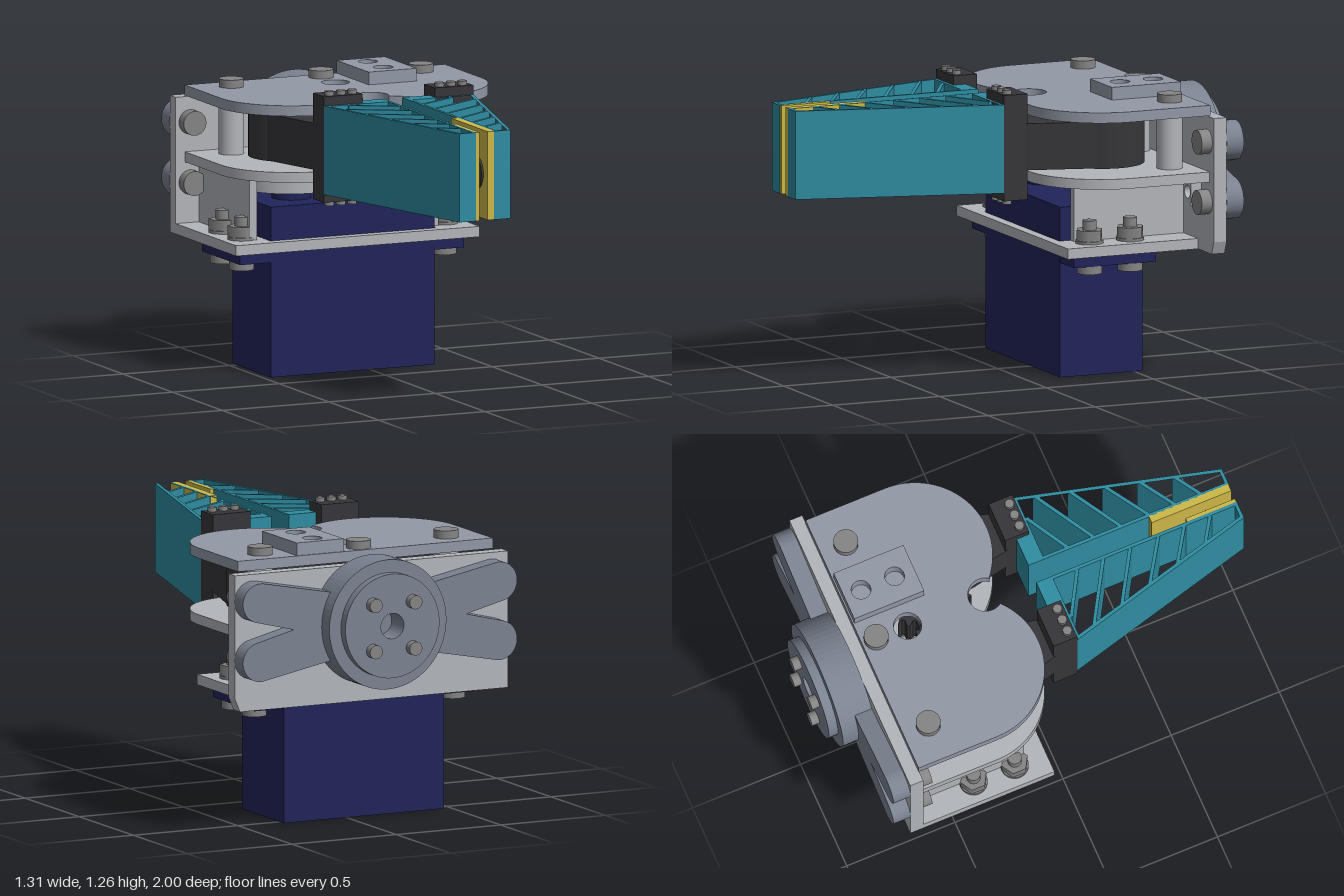
import * as THREE from 'three';

const mat = (color) => new THREE.MeshStandardMaterial({ color });
const M = {
  light: mat(0xb2b5ba), steel: mat(0x9299a6), wing: mat(0x7b8391), bolt: mat(0x858585),
  dark: mat(0x363539), navy: mat(0x20245a), teal: mat(0x2f8da2), yellow: mat(0xcdb848), red: mat(0xc8623f),
};

export function createModel() {
  const root = new THREE.Group();
  const add = (name, geo, m, parent = root) => {
    const mesh = new THREE.Mesh(geo, m);
    mesh.name = name;
    parent.add(mesh);
    return mesh;
  };
  // box from min/max pairs
  const box = (name, m, x0, x1, y0, y1, z0, z1, parent) =>
    add(name, new THREE.BoxGeometry(x1 - x0, y1 - y0, z1 - z0)
      .translate((x0 + x1) / 2, (y0 + y1) / 2, (z0 + z1) / 2), m, parent);
  // upright cylinder
  const post = (name, m, x, z, r, y0, y1, seg = 32, parent = root) =>
    add(name, new THREE.CylinderGeometry(r, r, y1 - y0, seg).translate(x, (y0 + y1) / 2, z), m, parent);
  // cylinder along z
  const pin = (name, m, x, y, r, z0, z1, seg = 32) =>
    add(name, new THREE.CylinderGeometry(r, r, z1 - z0, seg).rotateX(Math.PI / 2)
      .translate(x, y, (z0 + z1) / 2), m);
  // plan outline (x, -z) raised from y0 to y1
  const plan = (name, m, shape, y0, y1, parent) =>
    add(name, new THREE.ExtrudeGeometry(shape, { depth: y1 - y0, bevelEnabled: false, curveSegments: 32 })
      .rotateX(-Math.PI / 2).translate(0, y0, 0), m, parent);
  // front outline (x, y) extruded from z0 to z1
  const face = (name, m, shape, z0, z1) =>
    add(name, new THREE.ExtrudeGeometry(shape, { depth: z1 - z0, bevelEnabled: false, curveSegments: 32 })
      .translate(0, 0, z0), m);
  const poly = (pts) => new THREE.Shape(pts.map((p) => new THREE.Vector2(p[0], p[1])));
  const rect = (x0, x1, y0, y1) => poly([[x0, y0], [x1, y0], [x1, y1], [x0, y1]]);
  const circle = (x, y, r) => new THREE.Path().absarc(x, y, r, 0, Math.PI * 2, false);

  // motor with mounting ears, shaft and round horn
  box('motorBody', M.navy, -0.466, 0.3, 0, 0.735, -0.54, -0.155);
  box('motorEars', M.navy, -0.61, 0.44, 0.495, 0.543, -0.539, -0.156);
  post('motorShaft', M.navy, -0.28, -0.35, 0.085, 0.73, 0.79);
  post('motorHorn', M.light, -0.287, -0.355, 0.222, 0.785, 0.84);

  // base plate with an opening for the motor
  const base = rect(-0.653, 0.49, 0.105, 0.72);
  base.holes.push(rect(-0.47, 0.304, 0.15, 0.545));
  plan('basePlate', M.light, base, 0.545, 0.59);
  for (const x of [-0.56, 0.39]) {
    for (const z of [-0.25, -0.44]) {
      post('motorBoltHead', M.bolt, x, z, 0.053, 0.46, 0.495);
      post('motorBoltWasher', M.bolt, x, z, 0.06, 0.59, 0.602);
      post('motorBoltNut', M.bolt, x, z, 0.06, 0.602, 0.648, 6);
      post('motorBoltShank', M.bolt, x, z, 0.03, 0.46, 0.688);
    }
  }
  // side walls between base plate and lower plate
  for (const x of [-0.545, 0.305]) {
    box('sideWall', M.light, x, x + 0.035, 0.585, 0.86, -0.715, -0.2);
  }

  // rear wall
  const wall = poly([[-0.653, 0.545], [0.63, 0.545], [0.653, 0.6], [0.653, 1.135], [-0.653, 1.135]]);
  wall.holes.push(rect(0.42, 0.52, 0.72, 0.85), circle(0.38, 0.775, 0.028));
  face('rearWall', M.light, wall, -0.772, -0.712);

  // lobed upper and lower plates
  const heart = (notched) => {
    const a = notched ? 0.85 : 0.559;
    const s = new THREE.Shape();
    s.moveTo(-0.61, 0.715);
    s.lineTo(-0.61, 0.35);
    s.absarc(-0.28, 0.35, 0.33, Math.PI, Math.PI * 2 - a, false);
    if (notched) s.absarc(0, 0.145, 0.075, Math.PI + 0.64, -0.64, true);
    s.absarc(0.28, 0.35, 0.33, Math.PI + a, Math.PI * 2, false);
    s.lineTo(0.61, 0.715);
    s.closePath();
    s.holes.push(circle(0, 0.505, 0.06));
    return s;
  };
  plan('lowerPlate', M.light, heart(false), 0.853, 0.897);
  plan('upperPlate', M.steel, heart(true), 1.14, 1.185);
  const block = rect(0.1, 0.325, 0.385, 0.708);
  block.holes.push(circle(0.21, 0.475, 0.042), circle(0.21, 0.63, 0.042));
  plan('topBlock', M.steel, block, 1.185, 1.24);

  // spacers and bolts joining the plates
  for (const [x, z] of [[-0.445, -0.6], [0.445, -0.6], [0, -0.65]]) {
    post('spacer', M.light, x, z, 0.055, 0.89, 1.145);
    post('plateBolt', M.bolt, x, z, 0.053, 1.18, 1.22);
  }

  // rear mount: four arms, hub, flange and bolts
  const yc = 0.895;
  for (const sx of [-1, 1]) {
    for (const sy of [-1, 1]) {
      const s = new THREE.Shape();
      s.moveTo(0, 0.1);
      s.lineTo(0.585, 0.085);
      s.absarc(0.585, 0, 0.085, Math.PI / 2, -Math.PI / 2, true);
      s.lineTo(0, -0.1);
      s.closePath();
      const arm = face('rearArm', M.wing, s, -0.04, 0.04);
      arm.rotation.z = Math.atan2(sy * 0.13, sx * 0.585);
      arm.position.set(0, yc, -0.811);
      pin('rearArmBolt', M.bolt, sx * 0.585, yc + sy * 0.13, 0.053, -0.78, -0.663);
      pin('hubBolt', M.bolt, sx * 0.095, yc + sy * 0.1, 0.03, -1, -0.93);
    }
  }
  const ring = (R, r) => {
    const s = new THREE.Shape().absarc(0, yc, R, 0, Math.PI * 2, false);
    s.holes.push(circle(0, yc, r));
    return s;
  };
  face('rearHub', M.wing, ring(0.28, 0.055), -0.923, -0.772);
  face('rearFlange', M.wing, ring(0.225, 0.055), -0.965, -0.923);

  // mirrored jaws
  for (const s of [-1, 1]) {
    const jaw = new THREE.Group();
    jaw.name = s > 0 ? 'leftJaw' : 'rightJaw';
    root.add(jaw);
    const P = (pts) => poly(pts.map(([x, z]) => [s * x, -z]));

    // pivot, toothed inner sector and swing arm
    post('jawPivot', M.dark, s * 0.28, -0.36, 0.18, 0.915, 1.12, 48, jaw);
    post('jawPivotPin', M.bolt, s * 0.28, -0.36, 0.05, 0.89, 1.145, 24, jaw);
    const sector = [[0.28, -0.36]];
    for (let i = 0; i <= 28; i++) {
      const a = Math.PI + (i / 28 - 0.5) * 1.25;
      const r = ((i >> 1) + (s > 0 ? 1 : 0)) % 2 ? 0.29 : 0.265;
      sector.push([0.28 + r * Math.cos(a), -0.36 + r * Math.sin(a)]);
    }
    plan('gearSector', M.dark, P(sector), 0.92, 1.115, jaw);
    plan('swingArm', M.dark, P([[0.46, -0.36], [0.35, 0.03], [0.17, 0.03], [0.1, -0.36]]), 0.917, 1.118, jaw);

    // finger clamp with screws above and below
    plan('fingerClamp', M.dark, P([[0.17, 0.02], [0.35, 0.02], [0.35, 0.13], [0.17, 0.13]]), 0.79, 1.247, jaw);
    for (const x of [0.205, 0.258, 0.312]) {
      post('clampScrew', M.bolt, s * x, 0.1, 0.02, 0.772, 1.265, 16, jaw);
    }

    // ribbed finger frame
    const outer = (z) => 0.35 - 0.23 * (z - 0.13) / 0.87;
    const frame = P([[0.042, 0.13], [0.35, 0.13], [0.12, 1], [0.042, 1]]);
    frame.holes.push(P([[0.056, 0.145], [outer(0.145) - 0.016, 0.145], [outer(0.985) - 0.016, 0.985], [0.056, 0.985]]));
    plan('fingerFrame', M.teal, frame, 0.825, 1.207, jaw);
    plan('fingerRoot', M.teal, P([[0.042, 0.072], [0.17, 0.072], [0.17, 0.14], [0.042, 0.14]]), 0.825, 1.207, jaw);
    const ribs = [[0.245, 0.138, 0.25], ...[[0.21, 0.37], [0.355, 0.495], [0.5, 0.625], [0.645, 0.745], [0.79, 0.865]]
      .map(([z, zi]) => [outer(z) - 0.008, z, zi])];
    for (const [x, zo, zi] of ribs) {
      plan('fingerRib', M.teal, P([[x, zo], [x, zo + 0.018], [0.05, zi + 0.018], [0.05, zi]]), 0.826, 1.206, jaw);
    }
  }

  // grip pads and round contact sensor
  box('rightPad', M.yellow, -0.046, -0.026, 0.825, 1.207, 0.77, 0.998);
  box('leftPad', M.yellow, 0.013, 0.046, 0.825, 1.207, 0.63, 0.998);
  const disc = (name, m, r, x0, x1) => add(name, new THREE.CylinderGeometry(r, r, x1 - x0, 32)
    .rotateZ(Math.PI / 2).translate((x0 + x1) / 2, 1.016, 0.88), m);
  disc('sensorBacking', M.dark, 0.075, 0.004, 0.015);
  disc('sensorFace', M.red, 0.055, -0.01, 0.005);

  return root;
}
